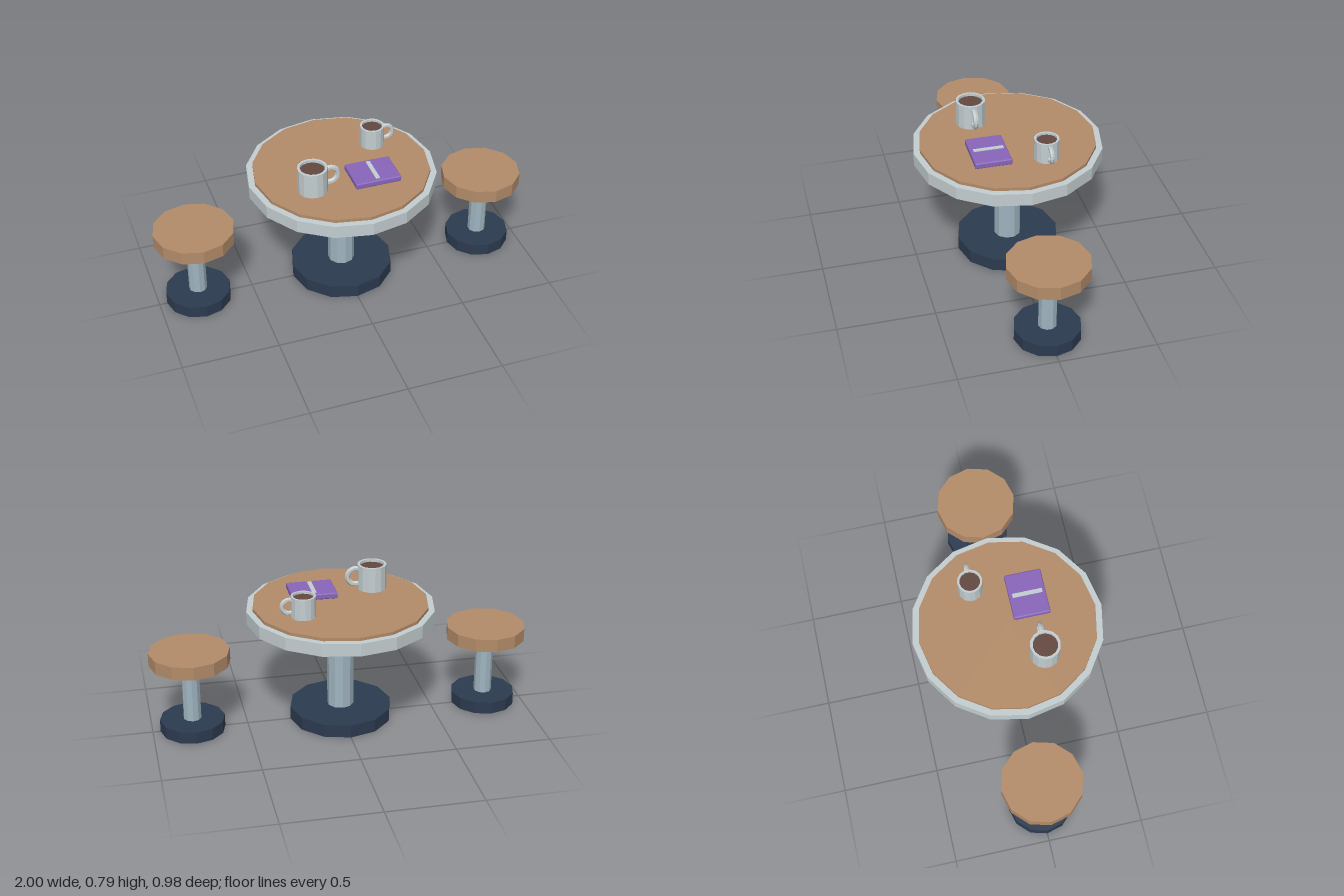
import * as THREE from 'three';
import { RoundedBoxGeometry } from 'three/addons/geometries/RoundedBoxGeometry.js';

function material(name, color) {
  const m = new THREE.MeshStandardMaterial({ color, flatShading: true });
  m.name = name;
  return m;
}

export function createModel() {
  const wood = material('wood', 0xb38c69);
  const pale = material('pale grey', 0xc3cdd0);
  const steel = material('steel blue', 0x9fb4c0);
  const navy = material('dark navy', 0x2c3b50);
  const purple = material('purple', 0x8865ba);
  const coffee = material('coffee brown', 0x634840);

  const model = new THREE.Group();
  model.name = 'tableSet';

  function add(parent, name, geometry, mat, x = 0, y = 0, z = 0) {
    const mesh = new THREE.Mesh(geometry, mat);
    mesh.name = name;
    mesh.position.set(x, y, z);
    parent.add(mesh);
    return mesh;
  }

  // Upright disc or post between two heights
  function disc(parent, name, radius, y0, y1, sides, mat) {
    add(parent, name, new THREE.CylinderGeometry(radius, radius, y1 - y0, sides), mat, 0, (y0 + y1) / 2, 0);
  }

  function group(name, x, y, z) {
    const g = new THREE.Group();
    g.name = name;
    g.position.set(x, y, z);
    model.add(g);
    return g;
  }

  // Pedestal table
  const table = group('table', 0, 0, 0);
  disc(table, 'tableBase', 0.27, 0, 0.07, 12, navy);
  disc(table, 'tablePost', 0.07, 0.07, 0.57, 10, steel);
  disc(table, 'tableRim', 0.49, 0.57, 0.638, 16, pale);
  disc(table, 'tableTop', 0.457, 0.638, 0.655, 16, wood);

  // Two round stools
  for (const side of [-1, 1]) {
    const stool = group(side > 0 ? 'leftStool' : 'rightStool', side * 0.79, 0, 0);
    disc(stool, 'stoolBase', 0.17, 0, 0.065, 12, navy);
    disc(stool, 'stoolPost', 0.047, 0.065, 0.383, 10, steel);
    disc(stool, 'stoolSeat', 0.21, 0.383, 0.453, 12, wood);
  }

  // Mug: hollow lathed cup, drink surface and curved handle
  function mug(name, x, z, s) {
    const g = group(name, x, 0.655, z);
    g.scale.setScalar(s);
    const profile = [[0, 0], [0.064, 0], [0.064, 0.112], [0.053, 0.112], [0.053, 0.095]]
      .map(([r, y]) => new THREE.Vector2(r, y));
    add(g, 'cup', new THREE.LatheGeometry(profile, 14), pale);
    add(g, 'drink', new THREE.CircleGeometry(0.054, 14).rotateX(-Math.PI / 2), coffee, 0, 0.1, 0);
    const handle = new THREE.TorusGeometry(0.036, 0.0115, 6, 12, 4).rotateZ(-2);
    add(g, 'handle', handle, pale, 0.074, 0.06, 0);
  }
  mug('largeMug', -0.2, 0.146, 1.2);
  mug('smallMug', 0.22, -0.146, 1);

  // Closed notebook with a band across the cover
  const book = group('notebook', 0.125, 0.655, 0.13);
  add(book, 'cover', new RoundedBoxGeometry(0.24, 0.032, 0.19, 2, 0.007), purple, 0, 0.017, 0);
  add(book, 'band', new THREE.BoxGeometry(0.022, 0.005, 0.155), pale, 0, 0.0345, 0);

  return model;
}
